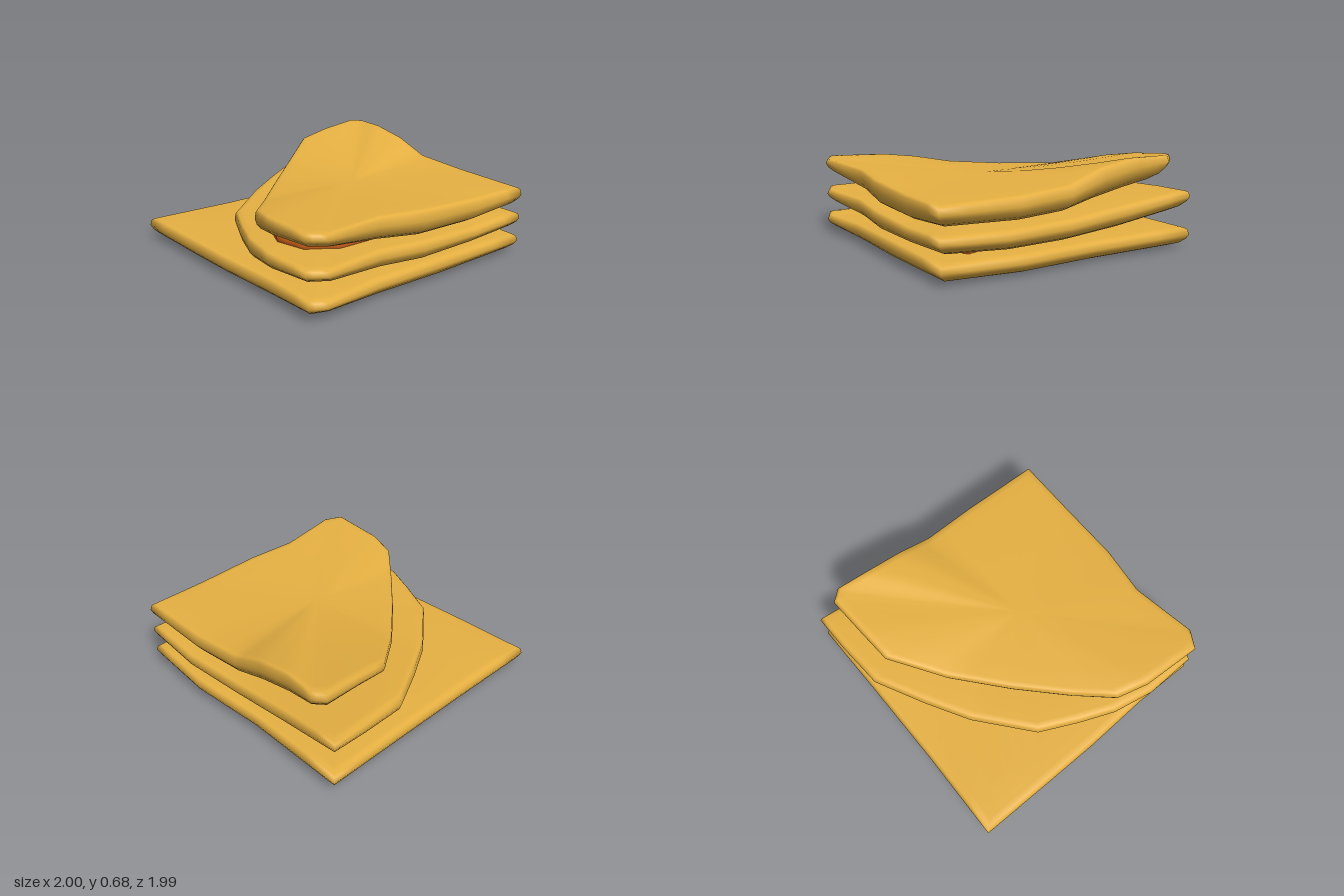
import * as THREE from 'three';
import { mergeVertices } from 'three/addons/utils/BufferGeometryUtils.js';

const mustard = new THREE.MeshStandardMaterial({ color: 0xe8b243 });
mustard.name = 'mustard';
const orange = new THREE.MeshStandardMaterial({ color: 0xee7022 });
orange.name = 'orange';

// Cross-section from the top centre, round the rim, to the bottom centre:
// [distance from centre, height within the thickness]
const SECTION = [[0, 1], [0.25, 1], [0.5, 1], [0.75, 1], [0.93, 1], [0.975, 0.97], [0.992, 0.88],
  [1, 0.62], [0.985, 0.4], [0.95, 0.18], [0.89, 0.03], [0.8, 0], [0.6, 0], [0.3, 0], [0, 0]];

// A soft slab. Rim and centre points are [x, z, bottom, top];
// the rim runs anticlockwise as seen from above.
function slab(name, material, rim, centre, bend = 1.5) {
  const steps = 3, loop = [];
  rim.forEach((p, i) => {
    const q = rim[(i + 1) % rim.length];
    for (let s = 0; s < steps; s++) loop.push(p.map((v, k) => v + (q[k] - v) * s / steps));
  });
  const n = loop.length, pos = [], index = [];
  SECTION.forEach(([t, h], k) => {
    const w = Math.pow(t, bend);
    loop.forEach(([x, z, lo, hi], i) => {
      const a = centre[2] + (lo - centre[2]) * w;
      const b = centre[3] + (hi - centre[3]) * w;
      pos.push(centre[0] + (x - centre[0]) * t, a + (b - a) * h, centre[1] + (z - centre[1]) * t);
      if (k === SECTION.length - 1) return;
      const j = (i + 1) % n, r = k * n, o = r + n;
      if (k < SECTION.length - 2) index.push(r + i, o + i, o + j);
      else index.push(r + i, o + i, r + j);
      if (k > 0 && k < SECTION.length - 2) index.push(r + i, o + j, r + j);
    });
  });
  let geo = new THREE.BufferGeometry();
  geo.setAttribute('position', new THREE.Float32BufferAttribute(pos, 3));
  geo.setIndex(index);
  geo = mergeVertices(geo, 1e-5);
  geo.computeVertexNormals();
  const mesh = new THREE.Mesh(geo, material);
  mesh.name = name;
  return mesh;
}

// A flat-bottomed filling; rim points are [x, z, top]
function filling(name, base, centre, rim) {
  return slab(name, orange, rim.map(([x, z, hi]) => [x, z, base, hi]), [centre[0], centre[1], base, centre[2]]);
}

export function createModel() {
  const group = new THREE.Group();
  group.name = 'foldedStack';

  // Bottom fold: a full square lying flat
  group.add(slab('bottomFold', mustard, [
    [-1, -0.985, 0.01, 0.15], [-0.99, -0.4, 0, 0.15], [-0.985, 0.3, 0, 0.15], [-0.995, 0.99, 0.01, 0.16],
    [-0.4, 0.985, 0, 0.16], [0, 0.98, 0, 0.155], [0.5, 0.955, 0, 0.15], [0.95, 0.96, 0.02, 0.145],
    [1, 0.85, 0.03, 0.135], [0.96, 0.4, 0, 0.14], [0.98, -0.2, 0, 0.15], [0.975, -0.95, 0.01, 0.14],
    [0.4, -0.995, 0, 0.14], [-0.2, -0.96, 0, 0.14],
  ], [0, 0, 0, 0.16]));

  // Middle fold: front left corner swept away, back left corner lifted
  group.add(slab('middleFold', mustard, [
    [-1, -0.98, 0.29, 0.42], [-0.995, -0.7, 0.27, 0.415], [-0.97, -0.35, 0.24, 0.4], [-0.78, 0, 0.18, 0.37],
    [-0.6, 0.3, 0.16, 0.345], [-0.28, 0.68, 0.15, 0.34], [0, 0.815, 0.15, 0.34], [0.25, 0.92, 0.17, 0.342],
    [0.55, 0.98, 0.205, 0.345], [0.93, 0.97, 0.24, 0.345], [1, 0.84, 0.235, 0.335], [0.95, 0.37, 0.185, 0.33],
    [0.98, 0, 0.16, 0.31], [0.985, -0.5, 0.17, 0.295], [0.98, -0.95, 0.19, 0.31], [0.5, -0.98, 0.165, 0.3],
    [0, -0.955, 0.165, 0.31], [-0.5, -0.955, 0.21, 0.36],
  ], [0.1, -0.05, 0.13, 0.33]));

  // Top fold: larger swept corner, back left corner raised highest
  group.add(slab('topFold', mustard, [
    [-0.865, -0.91, 0.54, 0.69], [-0.845, -0.6, 0.52, 0.66], [-0.825, -0.36, 0.49, 0.62], [-0.56, 0, 0.385, 0.53],
    [-0.25, 0.35, 0.35, 0.505], [0.05, 0.66, 0.345, 0.505], [0.28, 0.88, 0.37, 0.54], [0.5, 0.945, 0.415, 0.565],
    [0.93, 0.97, 0.47, 0.58], [1, 0.85, 0.465, 0.57], [0.93, 0.37, 0.375, 0.55], [0.98, 0, 0.335, 0.53],
    [0.985, -0.5, 0.325, 0.505], [0.985, -0.95, 0.36, 0.5], [0.4, -0.965, 0.34, 0.51], [0, -0.95, 0.36, 0.54],
    [-0.27, -0.95, 0.43, 0.64], [-0.55, -0.955, 0.49, 0.69], [-0.79, -0.975, 0.54, 0.69],
  ], [0.15, -0.05, 0.32, 0.52]));

  // Fillings tucked between the folds, peeking out mainly at the front right
  group.add(filling('lowerFilling', 0.12, [0.15, 0.05, 0.17], [
    [-0.78, -0.42, 0.175], [-0.6, 0, 0.14], [-0.1, 0.5, 0.14], [0.2, 0.74, 0.18], [0.45, 0.8, 0.205],
    [0.7, 0.7, 0.21], [0.8, 0.45, 0.2], [0.8, 0.05, 0.17], [0.75, -0.3, 0.15], [0.83, -0.6, 0.185],
    [0.7, -0.8, 0.175], [0, -0.6, 0.14], [-0.6, -0.6, 0.15],
  ]));
  group.add(filling('upperFilling', 0.28, [0.25, 0.2, 0.4], [
    [-0.54, -0.03, 0.39], [-0.2, 0.25, 0.34], [0.18, 0.7, 0.38], [0.42, 0.81, 0.42], [0.64, 0.76, 0.43],
    [0.76, 0.55, 0.42], [0.76, 0.25, 0.39], [0.6, 0, 0.35], [0.2, -0.25, 0.34], [-0.3, -0.25, 0.35],
  ]));

  return group;
}
